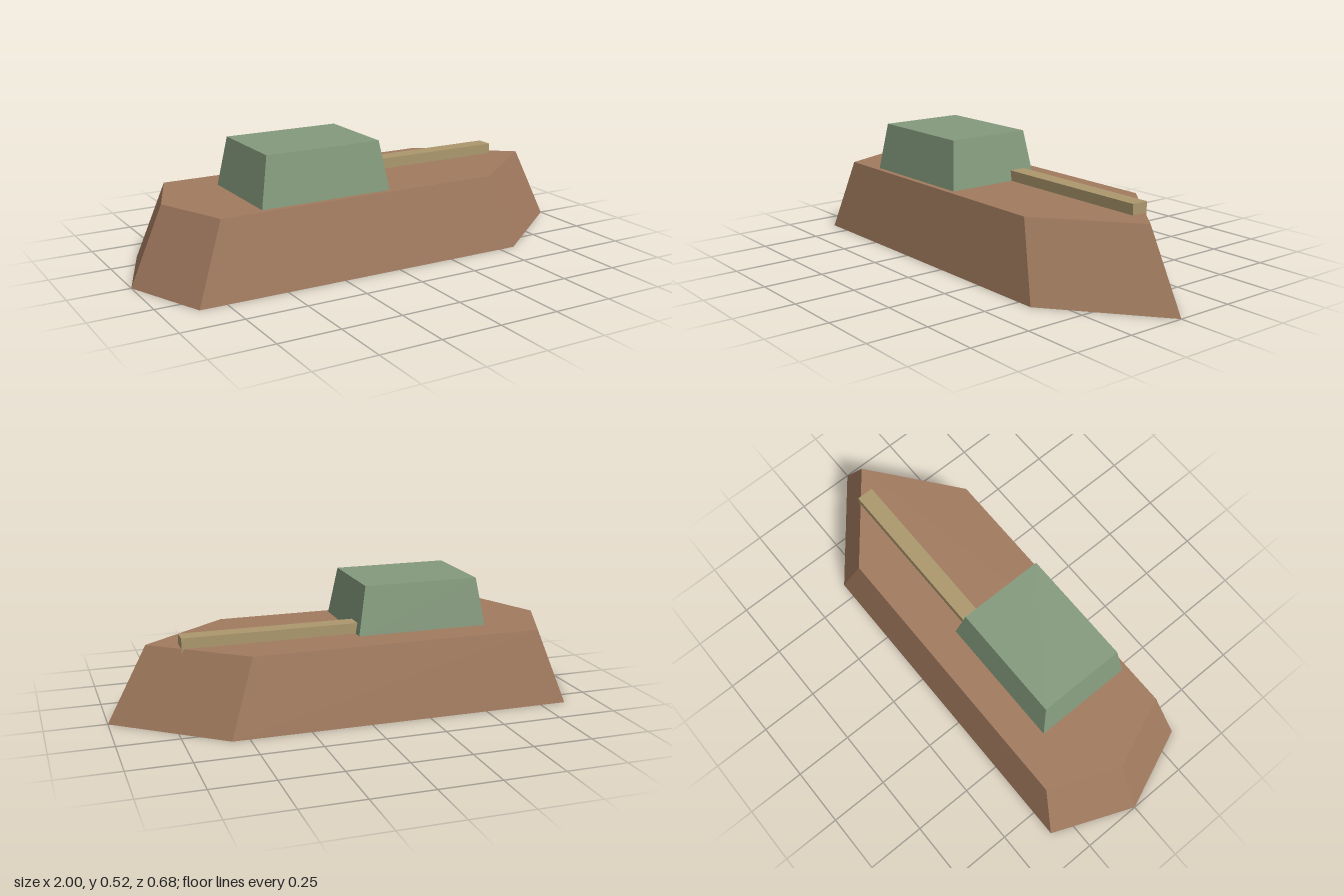
import * as THREE from 'three';

// Closed flat-sided solid between two convex outlines [x, z], listed counter-clockwise from above
function loft(bottom, top, y0, y1) {
  const b = bottom.map(([x, z]) => [x, y0, z]);
  const t = top.map(([x, z]) => [x, y1, z]);
  const n = b.length;
  const pos = [];
  const tri = (p, q, r) => pos.push(...p, ...q, ...r);
  for (let i = 0; i < n; i++) {
    const j = (i + 1) % n;
    tri(b[i], b[j], t[j]);
    tri(b[i], t[j], t[i]);
  }
  for (let i = 1; i < n - 1; i++) {
    tri(t[0], t[i], t[i + 1]);
    tri(b[0], b[i + 1], b[i]);
  }
  const geo = new THREE.BufferGeometry();
  geo.setAttribute('position', new THREE.Float32BufferAttribute(pos, 3));
  geo.computeVertexNormals();
  return geo;
}

// Six-sided hull outline: bow point, shoulders, stern point
const hullOutline = (bow, shoulder, quarter, stern, w) => [
  [bow, 0], [shoulder, -w], [quarter, -w], [stern, 0], [quarter, w], [shoulder, w],
];
const rectangle = (x0, x1, z0, z1) => [[x1, z1], [x1, z0], [x0, z0], [x0, z1]];

export function createModel() {
  const group = new THREE.Group();
  const material = (name, color) => {
    const m = new THREE.MeshStandardMaterial({ color });
    m.name = name;
    return m;
  };
  const add = (name, geo, mat) => {
    const mesh = new THREE.Mesh(geo, mat);
    mesh.name = name;
    group.add(mesh);
    return mesh;
  };
  const brown = material('hull brown', 0xa17a5e);
  const green = material('turret green', 0x839a7c);
  const tan = material('barrel tan', 0xac986d);

  // Hull tapering up to the deck
  add('hull', loft(
    hullOutline(1, 0.57, -0.86, -1, 0.341),
    hullOutline(0.835, 0.47, -0.745, -0.865, 0.291), 0, 0.315), brown);

  // Turret, offset towards the left rear of the deck
  add('turret', loft(
    rectangle(-0.567, -0.008, -0.153, 0.267),
    rectangle(-0.532, -0.043, -0.125, 0.24), 0.315, 0.516), green);

  // Square barrel half sunk into the deck
  add('barrel', new THREE.BoxGeometry(0.73, 0.072, 0.072), tan)
    .position.set(0.345, 0.323, -0.071);

  return group;
}
